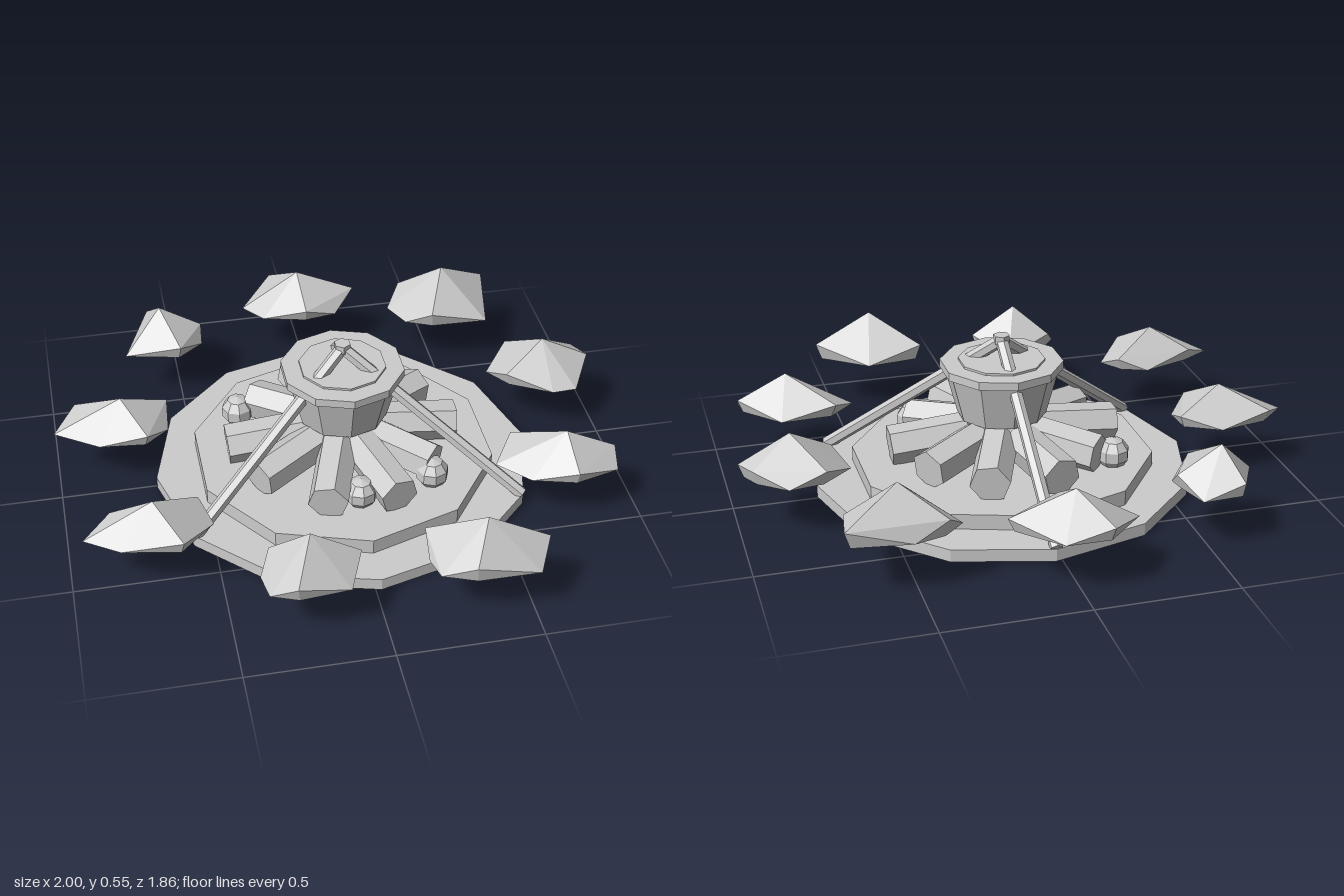
import * as THREE from 'three';
import { ConvexGeometry } from 'three/addons/geometries/ConvexGeometry.js';

export function createModel() {
  const model = new THREE.Group();
  model.name = 'campfire';
  const stone = new THREE.MeshStandardMaterial({ color: 0xcccccc });
  stone.name = 'stone grey';
  stone.flatShading = true;

  const CX = 0.02, CZ = 0.01;
  const V = (x, y, z) => new THREE.Vector3(x, y, z);
  const add = (name, geo, parent) => {
    const m = new THREE.Mesh(geo, stone);
    m.name = name;
    parent.add(m);
    return m;
  };

  // everything round shares one off-centre axis
  const hearth = new THREE.Group();
  hearth.name = 'hearth';
  hearth.position.set(CX, 0, CZ);
  model.add(hearth);

  const disc = (name, rTop, rBottom, y0, y1, sides) => {
    const m = add(name, new THREE.CylinderGeometry(rTop, rBottom, y1 - y0, sides), hearth);
    m.position.y = (y0 + y1) / 2;
    return m;
  };
  // straight bar between two points
  const bar = (name, a, b, r, sides, roll = 0) => {
    const geo = new THREE.CylinderGeometry(r, r, a.distanceTo(b), sides);
    geo.rotateY(roll);
    const m = add(name, geo, hearth);
    m.position.copy(a).add(b).multiplyScalar(0.5);
    m.quaternion.setFromUnitVectors(V(0, 1, 0), b.clone().sub(a).normalize());
    return m;
  };

  // stepped base
  disc('lowerBase', 0.68, 0.68, 0, 0.045, 12);
  disc('upperBase', 0.545, 0.545, 0.045, 0.1, 10);

  // cooking pot
  disc('potBody', 0.205, 0.16, 0.25, 0.42, 10);
  disc('potRim', 0.22, 0.22, 0.42, 0.45, 10);
  disc('potLid', 0.155, 0.155, 0.45, 0.458, 10);

  // tripod
  for (let i = 0; i < 3; i++) {
    const a = Math.PI + i * Math.PI * 2 / 3;
    const foot = V(Math.sin(a) * 0.675, 0.045, Math.cos(a) * 0.675);
    bar('tripodLeg', foot, V(0, 0.525, 0), 0.023, 6);
  }
  disc('tripodCap', 0.03, 0.03, 0.515, 0.545, 6);

  // ring of logs: heading in degrees from +x towards +z, and outer reach
  const logs = [[2, 0.41], [41, 0.37], [73, 0.42], [108, 0.41], [148, 0.4],
    [180, 0.42], [222, 0.38], [255, 0.41], [291, 0.41], [326, 0.39]];
  logs.forEach(([deg, reach]) => {
    const a = deg * Math.PI / 180;
    const at = (r, y) => V(Math.cos(a) * r, y, Math.sin(a) * r);
    bar('log', at(reach, 0.16), at(0.13, 0.185), 0.072, 6);
  });

  // embers tucked between the logs
  [[-0.35, -0.22], [-0.25, 0], [0, 0.33], [0.27, 0.27]].forEach(([x, z]) => {
    const m = add('ember', new THREE.SphereGeometry(0.06, 8, 5), hearth);
    m.position.set(x, 0.14, z);
  });

  // rock: a peak, and an outline whose odd corners overhang the flat base
  const BASE = 0.195;
  const rock = (px, py, pz, ...outline) => {
    const peak = V(px, py, pz);
    const points = [peak];
    for (let i = 0; i < outline.length; i += 2) {
      const p = V(outline[i], BASE, outline[i + 1]);
      const odd = (i / 2) % 2 === 1;
      const toward = (k, y) => V(px + (p.x - px) * k, y, pz + (p.z - pz) * k);
      points.push(toward(odd ? 0.9 : 1, BASE));
      if (odd) points.push(toward(1, BASE + (py - BASE) * 0.35));
    }
    add('rock', new ConvexGeometry(points), model);
  };
  // back
  rock(0, 0.33, -0.8, -0.22, -0.79, -0.09, -0.935, 0.07, -0.92, 0.22, -0.78, 0.13, -0.68, 0.01, -0.645, -0.15, -0.7);
  rock(0.55, 0.365, -0.67, 0.34, -0.68, 0.4, -0.76, 0.52, -0.78, 0.74, -0.76, 0.7, -0.52, 0.48, -0.51, 0.39, -0.57);
  rock(-0.56, 0.34, -0.64, -0.705, -0.55, -0.6, -0.765, -0.455, -0.76, -0.405, -0.64, -0.41, -0.58, -0.5, -0.49);
  // sides
  rock(0.81, 0.34, -0.16, 0.61, -0.19, 0.71, -0.3, 0.84, -0.305, 0.95, -0.235, 0.91, -0.02, 0.99, -0.16, 0.82, -0.015, 0.66, -0.09);
  rock(0.74, 0.33, 0.38, 0.5, 0.35, 0.58, 0.24, 0.78, 0.245, 0.92, 0.38, 0.91, 0.46, 0.75, 0.515, 0.6, 0.46);
  rock(-0.76, 0.32, -0.12, -1.005, -0.12, -0.92, -0.225, -0.73, -0.25, -0.59, -0.19, -0.6, -0.07, -0.68, 0.015, -0.85, -0.015);
  rock(-0.71, 0.325, 0.47, -0.95, 0.475, -0.85, 0.4, -0.66, 0.345, -0.55, 0.375, -0.51, 0.47, -0.625, 0.605, -0.83, 0.555);
  // front
  rock(0.34, 0.37, 0.81, 0.155, 0.79, 0.16, 0.695, 0.37, 0.68, 0.555, 0.81, 0.5, 0.915, 0.28, 0.925, 0.175, 0.87);
  rock(-0.235, 0.355, 0.76, -0.4, 0.76, -0.36, 0.685, -0.18, 0.62, -0.065, 0.755, -0.12, 0.875, -0.3, 0.905, -0.385, 0.855);

  return model;
}
